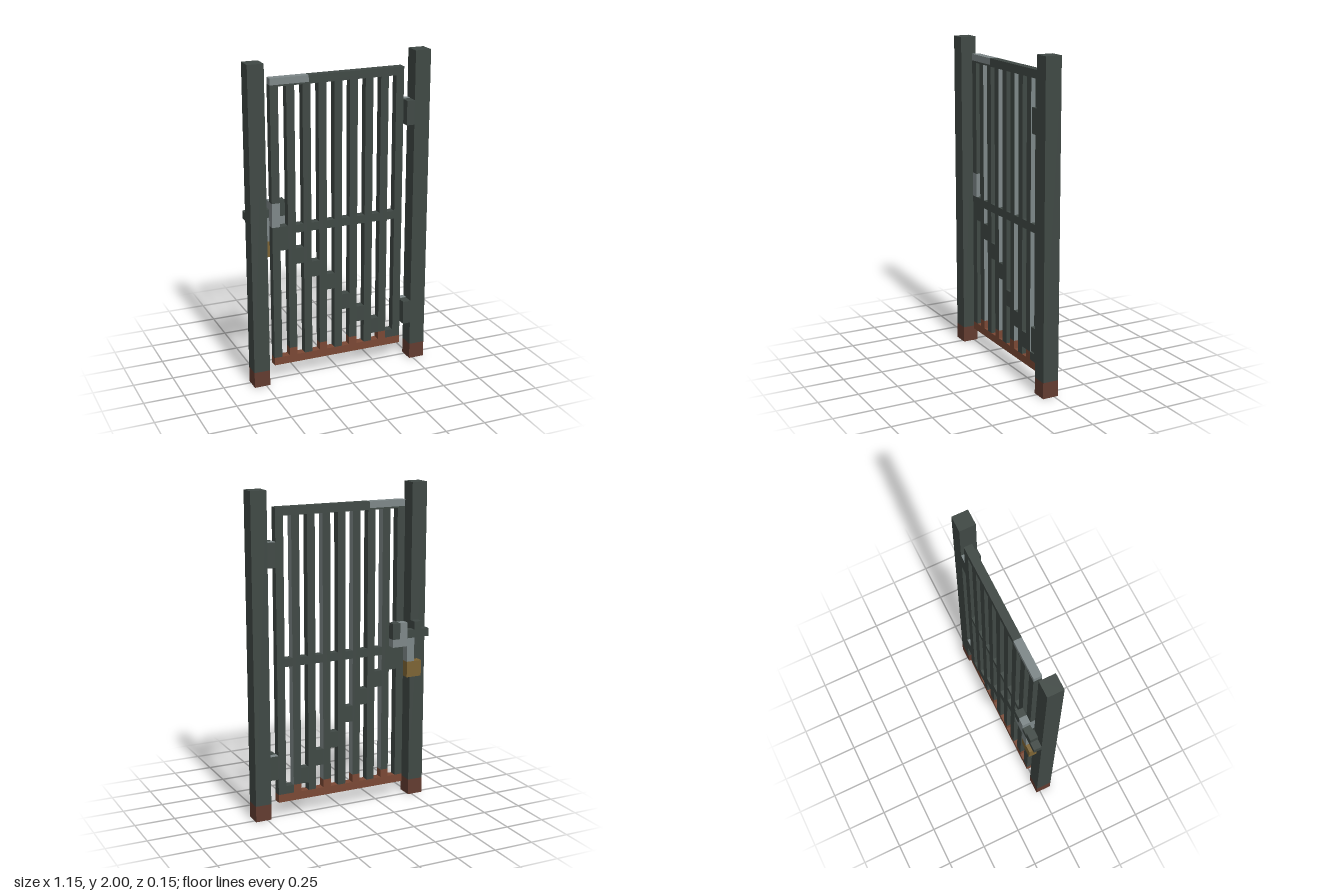
import * as THREE from 'three';

const paint = (name, color) => new THREE.MeshStandardMaterial({ name, color });

export function createModel() {
  const green = paint('dark green iron', 0x3f4844);
  const silver = paint('worn silver', 0x7d8788);
  const rust = paint('rust', 0x7a4834);
  const darkRust = paint('dark rust', 0x633c30);
  const brass = paint('brass', 0x7d6434);

  const gate = new THREE.Group();
  gate.name = 'gate';

  // Box given by its limits on each axis
  function block(name, material, [x0, x1], [y0, y1], [z0, z1], parent = gate) {
    const mesh = new THREE.Mesh(new THREE.BoxGeometry(x1 - x0, y1 - y0, z1 - z0), material);
    mesh.position.set((x0 + x1) / 2, (y0 + y1) / 2, (z0 + z1) / 2);
    mesh.name = name;
    parent.add(mesh);
    return mesh;
  }

  const leaf = [-0.025, 0.025];
  const deep = [-0.025, 0.075];
  const back = [-0.075, -0.025];

  // Posts with rusted feet
  for (const [side, x] of [['right', -0.525], ['left', 0.525]]) {
    const span = [x - 0.05, x + 0.05];
    block(side + 'Post', green, span, [0.1, 2], deep);
    block(side + 'PostFoot', darkRust, span, [0, 0.1], deep);
  }

  // Hinges with a worn patch on top
  for (const y of [0.25, 1.55]) {
    block('hinge', green, [0.425, 0.475], [y, y + 0.15], deep);
    block('hingeWear', silver, [0.425, 0.475], [y + 0.15, y + 0.152], [-0.025, 0.01]);
  }

  // Top and bottom rails
  block('topRail', green, [-0.185, 0.425], [1.85, 1.9], leaf);
  block('topRailWear', silver, [-0.425, -0.185], [1.86, 1.9], leaf);
  block('topRailUnderside', green, [-0.425, -0.185], [1.85, 1.86], leaf);
  block('bottomRail', rust, [-0.425, 0.425], [0.1, 0.15], leaf);

  // Bars; every second one has a rusted foot and a worn side
  const wornSide = [silver, green, green, green, green, green];
  for (let i = 0; i < 9; i++) {
    const x = -0.4 + i * 0.1;
    const span = [x - 0.025, x + 0.025];
    if (i === 0) {
      block('bar', green, span, [0.15, 1], leaf);
      block('barWear', silver, span, [1, 1.15], leaf);
      block('bar', green, span, [1.15, 1.85], leaf);
    } else if (i % 2) {
      block('barFoot', rust, span, [0.15, 0.2], leaf);
      block('bar', wornSide, span, [0.2, 1.85], leaf);
    } else {
      block('bar', green, span, [0.15, 1.85], leaf);
    }
  }

  // Middle rail and stepped diagonal brace, filling the gaps between bars
  const steps = [[0.85, 0.95], [0.75, 0.85], [0.65, 0.75], [0.55, 0.65],
    [0.4, 0.5], [0.3, 0.4], [0.2, 0.3], [0.15, 0.2]];
  steps.forEach((heights, i) => {
    const span = [-0.375 + i * 0.1, -0.325 + i * 0.1];
    block('middleRail', green, span, [0.95, 1], leaf);
    block('braceStep', green, span, heights, leaf);
  });

  // Latch on the back: plate, sliding bolt and knob
  const latch = new THREE.Group();
  latch.name = 'latch';
  gate.add(latch);
  block('latchPlate', green, [-0.375, -0.325], [1.05, 1.15], back, latch);
  block('latchPlateWear', silver, [-0.375, -0.325], [1, 1.05], back, latch);
  block('latchPlateEdge', silver, [-0.425, -0.375], [1, 1.15], back, latch);
  block('bolt', green, [-0.475, -0.425], [1.05, 1.1], back, latch);
  block('boltKnob', green, [-0.525, -0.475], [1.05, 1.15], back, latch);
  block('boltEnd', green, [-0.575, -0.525], [1.05, 1.1], back, latch);

  // Padlock hanging from the bolt
  const padlock = new THREE.Group();
  padlock.name = 'padlock';
  gate.add(padlock);
  block('shackle', silver, [-0.475, -0.425], [0.9, 1.05], back, padlock);
  block('lockBody', brass, [-0.525, -0.425], [0.8, 0.9], back, padlock);

  return gate;
}
